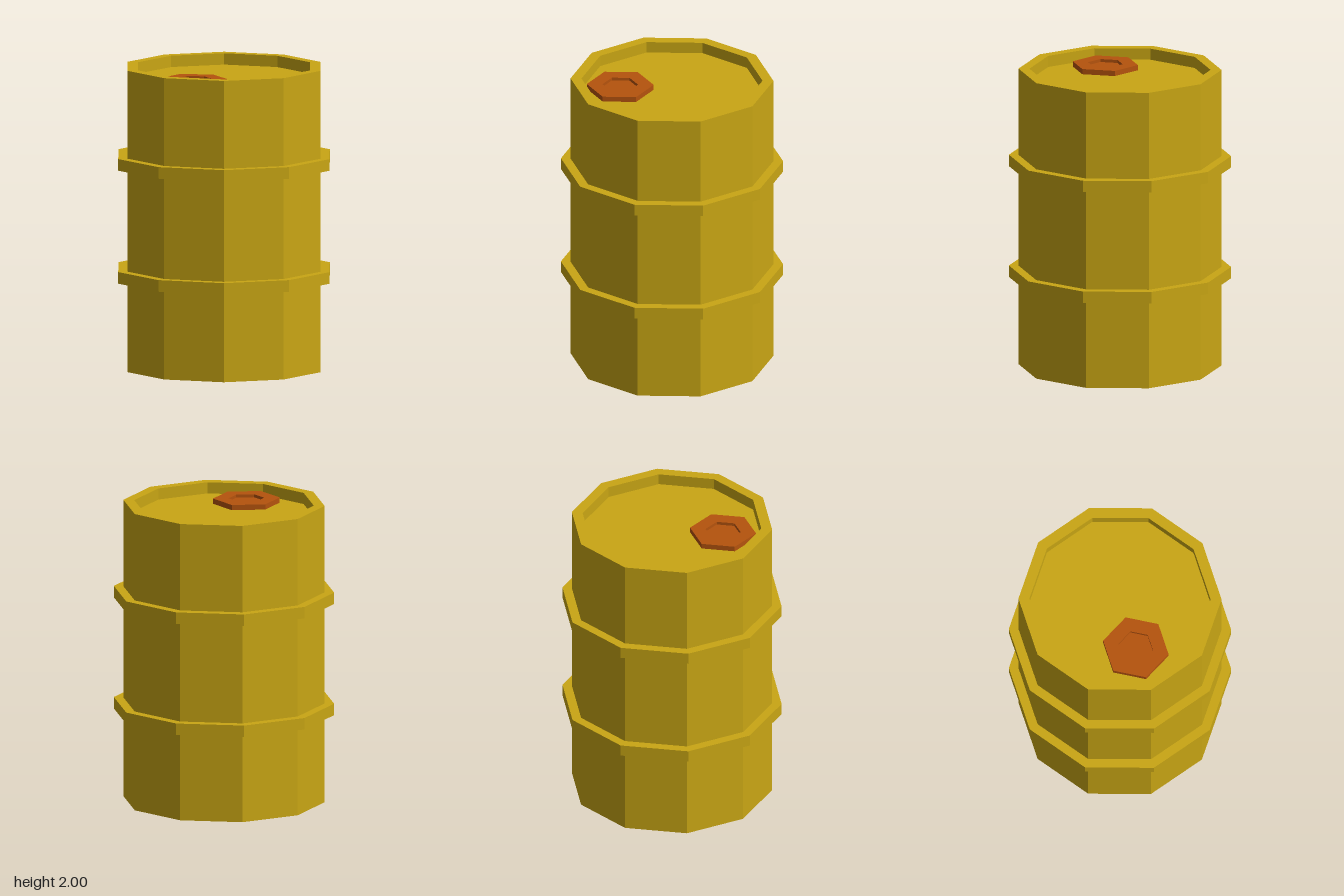
import * as THREE from 'three';

const yellow = new THREE.MeshStandardMaterial({ color: 0xc9a614, flatShading: true });
const orange = new THREE.MeshStandardMaterial({ color: 0xb5530d, flatShading: true });

// Faceted solid of revolution from [radius, y] points, listed bottom to top on the outside
function lathe(name, points, sides, material) {
  const profile = points.map(([r, y]) => new THREE.Vector2(r, y));
  const mesh = new THREE.Mesh(new THREE.LatheGeometry(profile, sides), material);
  mesh.name = name;
  return mesh;
}

export function createModel() {
  const barrel = new THREE.Group();
  barrel.name = 'barrel';

  const sides = 10, radius = 0.667, rimRadius = 0.595, lidY = 1.925;

  // Drum with a raised rim around the sunken lid
  barrel.add(lathe('drum', [
    [0, 0], [radius, 0], [radius, 2], [rimRadius, 2], [rimRadius, lidY], [0, lidY],
  ], sides, yellow));

  // Two hoops around the drum
  [['lowerHoop', 0.59], ['upperHoop', 1.34]].forEach(([name, y]) => {
    barrel.add(lathe(name, [
      [radius - 0.02, y], [0.73, y], [0.73, y + 0.077], [radius - 0.02, y + 0.077],
    ], sides, yellow));
  });

  // Hexagonal filler cap with a recessed centre
  const cap = lathe('fillerCap', [
    [0, 0], [0.22, 0], [0.22, 0.035], [0.117, 0.035], [0.117, 0.015], [0, 0.015],
  ], 6, orange);
  cap.position.set(0, lidY, 0.34);
  barrel.add(cap);

  return barrel;
}
